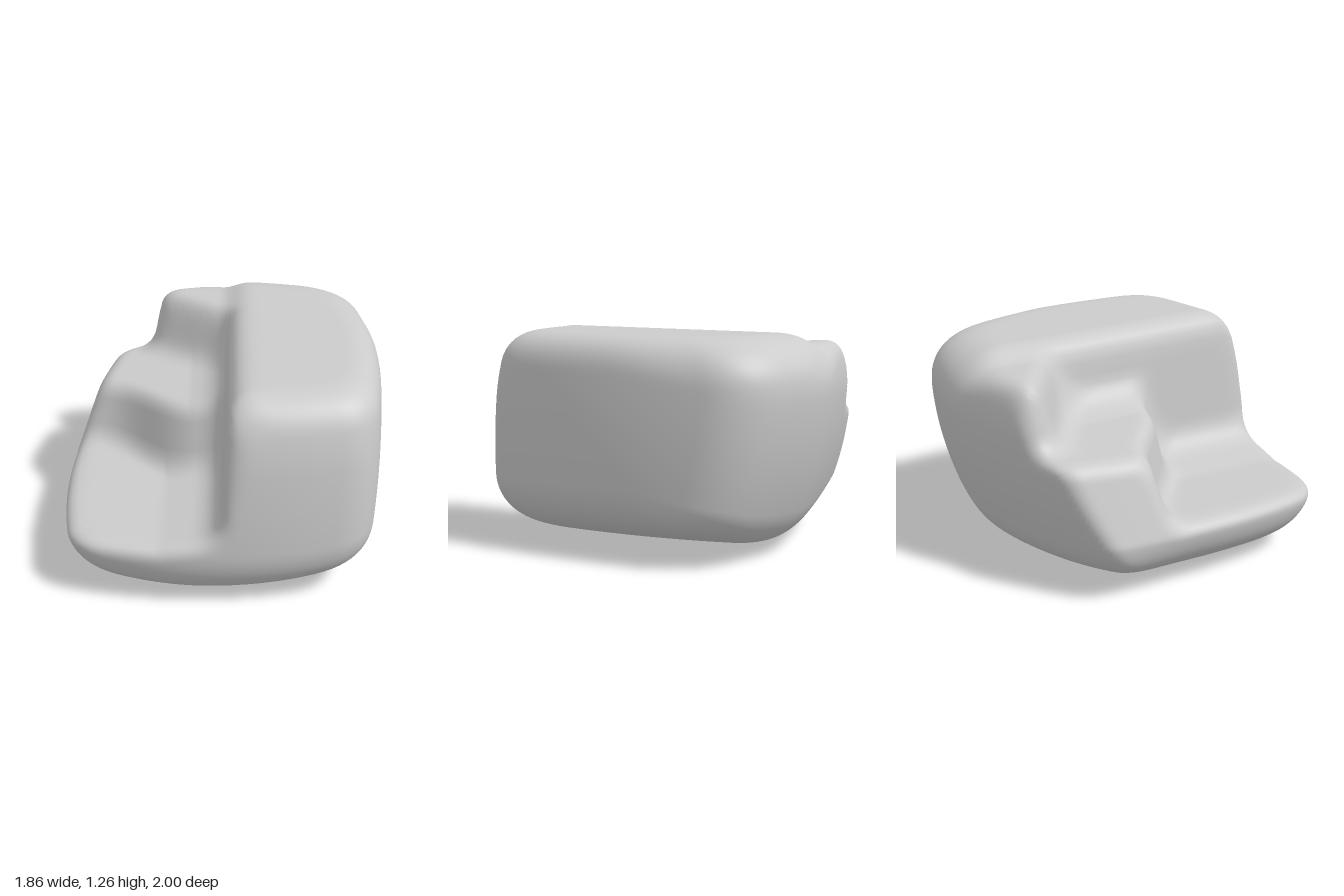
import * as THREE from 'three';
import { mergeVertices } from 'three/addons/utils/BufferGeometryUtils.js';

const { smoothstep } = THREE.MathUtils;

// Rounded intersection and union of two distance-like values
const smax = (a, b, k) => {
  const h = Math.max(k - Math.abs(a - b), 0) / k;
  return Math.max(a, b) + h * h * k * 0.25;
};
const smin = (a, b, k) => -smax(-a, -b, k);
const over = (v, start) => Math.max(0, v - start);

// Outer boulder: bulging sides and a rounded underside
function boulder(x, y, z) {
  const right = x - (0.928 - 0.13 * z * z - 0.1 * (y - 0.7) ** 2);
  const left = -x - (0.94 - 0.15 * (z - 0.15) ** 2 - 0.33 * over(y, 0.35));
  const front = z - (1 - 0.17 * x * x - 0.1 * (y - 0.4) ** 2 - 0.3 * over(y, 0.85) ** 2);
  const back = -z - (1.06 - 0.3 * Math.hypot(x - 0.2, 0.2) + 0.1 * (y - 0.9)
    - 0.25 * (y - 0.9) ** 2 - 0.6 * over(y, 0.9) ** 2);
  const under = 0.2 * (x + 0.1) ** 2 + 0.035 * (z - 0.45) ** 2 + 0.25 * over(z, 0.45) ** 2 - y;
  // The upright edge is softest at the back right and crispest at the back left
  const rear = smoothstep(-z, 0, 0.6);
  const edge = 0.17 + rear * (0.16 * smoothstep(x, -0.3, 0.5) - 0.09);
  const sides = smax(Math.max(left, right), Math.max(front, back), edge);
  return smax(sides, under, 0.28 - 0.06 * smoothstep(x, 0, 0.8) - 0.08 * rear);
}

// Stepped top: low shelf, middle step, upper step and tall block
function steps(x, y, z) {
  const shelf = y - (0.41 - 0.02 * z + 0.2 * over(x, -0.35));
  const midRiser = z - (-0.02 + 0.24 * Math.tanh((x + 0.45) * 4)) + 0.27 * (y - 0.6);
  const middle = smax(y - (0.795 + 0.06 * (x + 0.8) + 0.2 * over(x, -0.2)), midRiser, 0.1);
  const upRiser = (z + 0.48 - 0.75 * (x + 0.1)) * 0.8 + 0.27 * (y - 1);
  const upSide = -x - (0.425 - 0.19 * (y - 1));
  const upper = smax(y - 1.2, smax(upRiser, upSide, 0.07), 0.09);
  const tall = smax(y - 1.265, 0.06 * (y - 0.7) - x, 0.16);
  // The hollow against the tall block tightens towards the top
  const hollow = 0.16 - 0.1 * smoothstep(y, 0.9, 1.2);
  return smin(smin(smin(shelf, middle, 0.13), upper, 0.12), tall, hollow);
}

// Top rims are crisp over the steps and soft over the tall block
function rock(x, y, z) {
  const soft = 0.1 + 0.08 * smoothstep(-z, 0, 0.6);
  const rim = 0.09 + soft * smoothstep(x, -0.2, 0.3) * smoothstep(y, 0.5, 1);
  return smax(boulder(x, y, z), steps(x, y, z), rim);
}

export function createModel() {
  // Push every point of a small box outward until it meets the rock's surface
  const box = new THREE.BoxGeometry(1, 0.6, 1, 100, 90, 100);
  box.deleteAttribute('normal');
  box.deleteAttribute('uv');
  const geometry = mergeVertices(box);
  const core = new THREE.Vector3(0.3, 0.2, -0.4);
  const pos = geometry.attributes.position;
  const dir = new THREE.Vector3();
  for (let i = 0; i < pos.count; i++) {
    dir.fromBufferAttribute(pos, i).normalize();
    const field = (t) => rock(core.x + dir.x * t, core.y + dir.y * t, core.z + dir.z * t);
    let far = 0.01;
    while (far < 2.6 && field(far) < 0) far += 0.01;
    let near = far - 0.01;
    for (let n = 0; n < 14; n++) {
      const mid = (near + far) / 2;
      if (field(mid) < 0) near = mid;
      else far = mid;
    }
    pos.setXYZ(i, core.x + dir.x * far, core.y + dir.y * far, core.z + dir.z * far);
  }
  geometry.computeVertexNormals();

  const mesh = new THREE.Mesh(geometry, new THREE.MeshStandardMaterial({ color: 0xcccccc }));
  mesh.name = 'steppedRock';
  const group = new THREE.Group();
  group.name = 'rock';
  group.add(mesh);
  return group;
}
